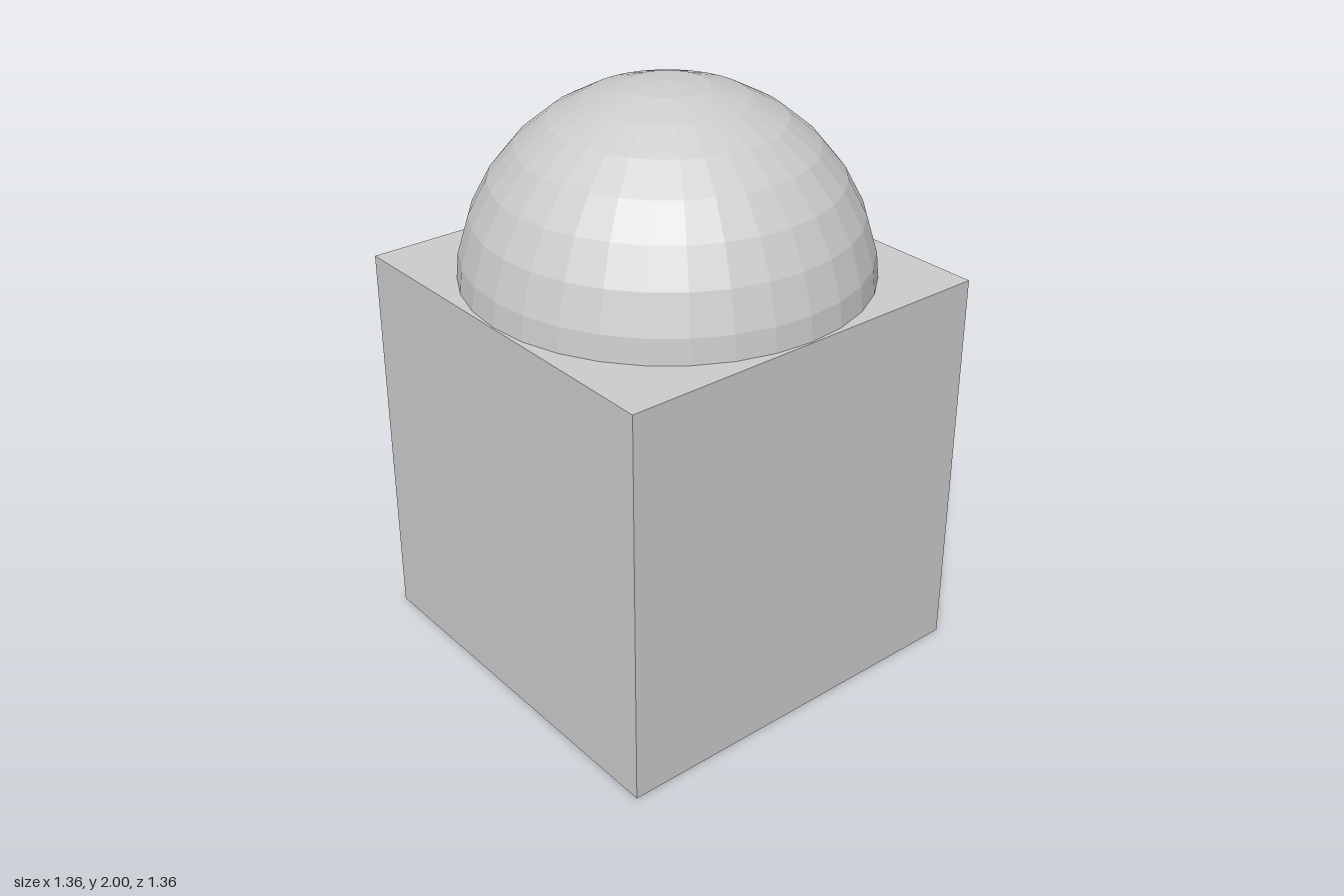
import * as THREE from 'three';

export function createModel() {
  const group = new THREE.Group();
  const material = new THREE.MeshStandardMaterial({ color: 0xcccccc, flatShading: true });
  const radius = 0.68, blockHeight = 1.37;

  // Square block standing on the ground
  const block = new THREE.Mesh(new THREE.BoxGeometry(2 * radius, blockHeight, 2 * radius), material);
  block.name = 'block';
  block.position.y = blockHeight / 2;

  // Faceted ball sunk into the block, its upper part forming the dome
  const dome = new THREE.Mesh(new THREE.SphereGeometry(radius, 32, 16), material);
  dome.name = 'dome';
  dome.position.y = 2 - radius;

  group.add(block, dome);
  return group;
}
